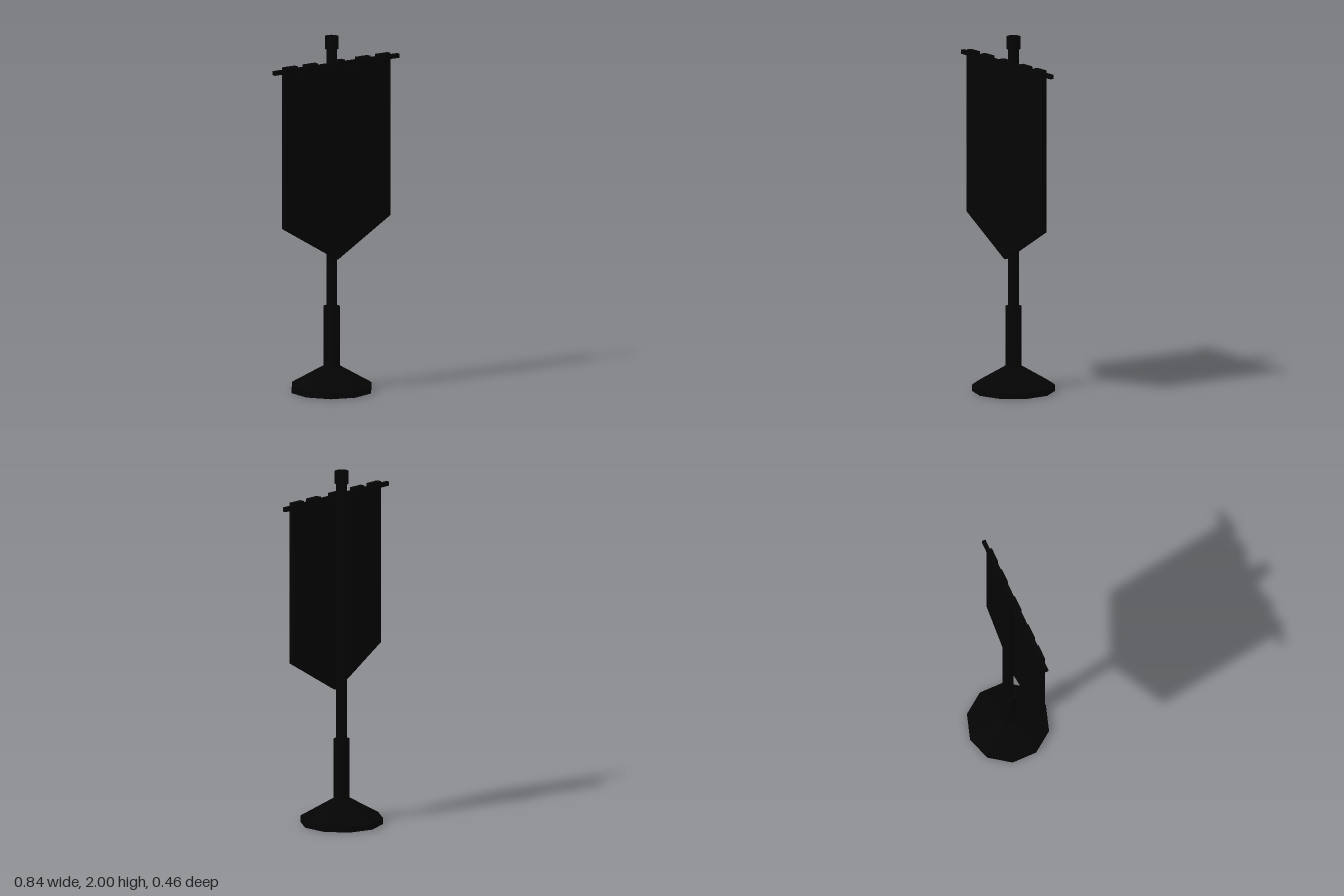
import * as THREE from 'three';

const SIDES = 10;
const dark = new THREE.MeshStandardMaterial({ color: 0x040404, flatShading: true, side: THREE.DoubleSide });

export function createModel() {
  const group = new THREE.Group();
  const add = (name, geometry) => {
    const mesh = new THREE.Mesh(geometry, dark);
    mesh.name = name;
    group.add(mesh);
    return mesh;
  };
  // Faceted turned shell from [radius, height] pairs
  const turned = (name, points, sides = SIDES) =>
    add(name, new THREE.LatheGeometry(points.map(([r, y]) => new THREE.Vector2(r, y)), sides));

  // Hollow stand, open at the foot and at the top
  turned('base', [[0.23, 0], [0.23, 0.035], [0.045, 0.142]]);
  turned('sleeve', [[0.0455, 0.14], [0.0455, 0.478], [0.03, 0.478]], 12);
  turned('pole', [[0.03, 0.478], [0.03, 1.93]]);
  turned('finial', [[0.03, 1.93], [0.039, 1.93], [0.039, 2], [0.03, 2]]);

  // Crossbar
  const bar = add('crossbar', new THREE.BoxGeometry(0.84, 0.023, 0.022));
  bar.position.set(0, 1.848, 0.0425);

  // Pointed banner with five hanging tabs
  const outline = new THREE.Shape();
  outline.moveTo(-0.355, 0.96);
  outline.lineTo(0, 0.75);
  outline.lineTo(0.355, 0.96);
  const tabs = [[0.355, 0.27], [0.22, 0.135], [0.045, -0.045], [-0.135, -0.22], [-0.27, -0.355]];
  for (const [right, left] of tabs) {
    outline.lineTo(right, 1.838);
    outline.lineTo(right, 1.873);
    outline.lineTo(left, 1.873);
    outline.lineTo(left, 1.838);
  }
  outline.closePath();
  const banner = add('banner', new THREE.ExtrudeGeometry(outline, { depth: 0.031, bevelEnabled: false }));
  banner.position.z = 0.0315;

  return group;
}
